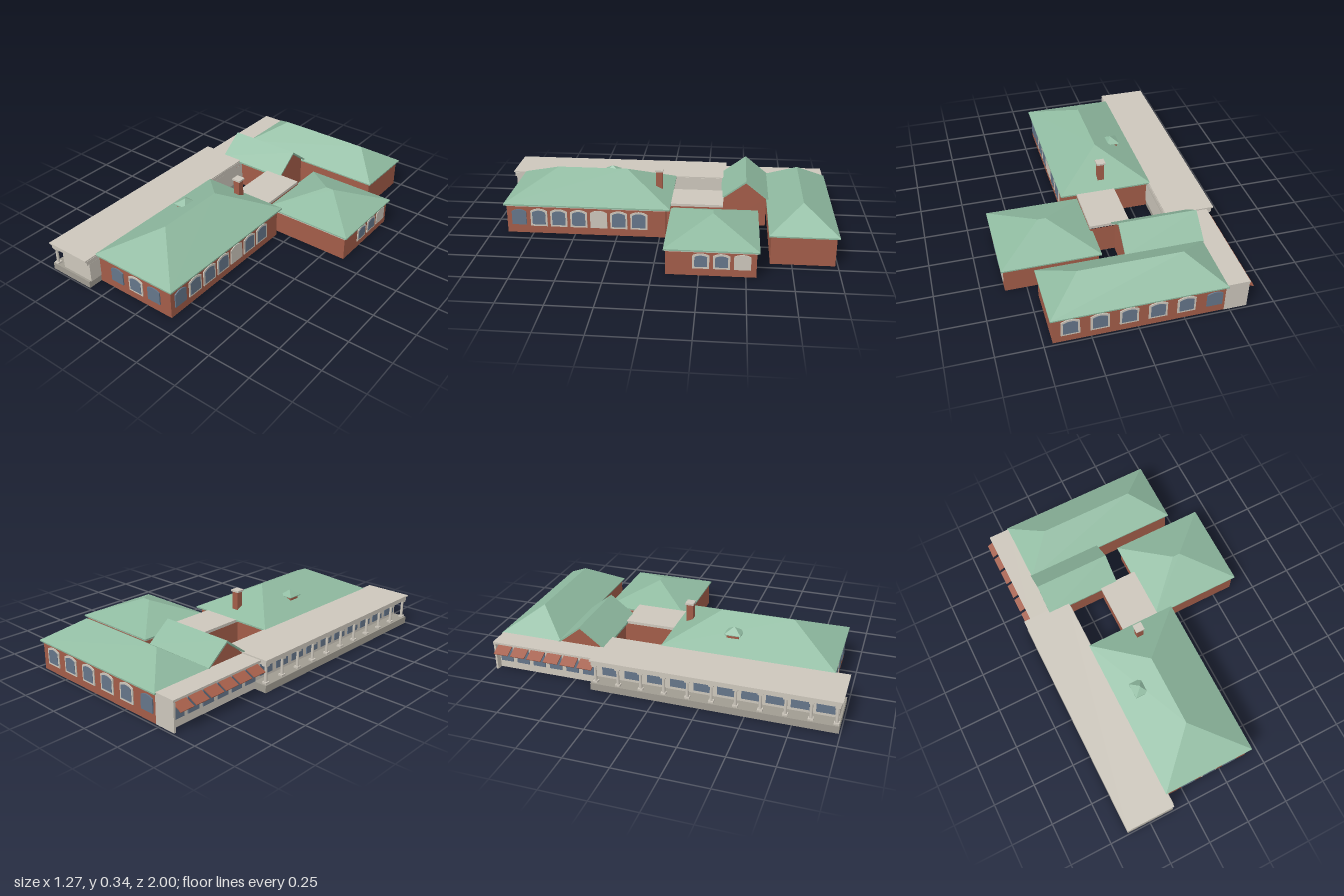
import * as THREE from 'three';

const mat = (name, color, side = THREE.FrontSide) => {
  const m = new THREE.MeshStandardMaterial({ color, side });
  m.name = name;
  return m;
};

export function createModel() {
  const model = new THREE.Group();
  model.name = 'building';
  const green = mat('green roof', 0x8fbaa0);
  const brick = mat('red brick', 0xa35d49, THREE.DoubleSide);
  const stone = mat('pale stone', 0xcdc7bc, THREE.DoubleSide);
  const grey = mat('grey base', 0xa09c92);
  const glass = mat('window glass', 0x65768a);

  const add = (name, geo, material, parent = model) => {
    const mesh = new THREE.Mesh(geo, material);
    mesh.name = name;
    parent.add(mesh);
    return mesh;
  };

  // Box given by its limits
  const box = (name, x0, x1, y0, y1, z0, z1, material) => {
    const m = add(name, new THREE.BoxGeometry(x1 - x0, y1 - y0, z1 - z0), material);
    m.position.set((x0 + x1) / 2, (y0 + y1) / 2, (z0 + z1) / 2);
    return m;
  };

  // Stack of rectangles [x0, x1, z0, z1, y], flat shaded, with an optional floor
  const loft = (rects, floor) => {
    const rings = rects.map(([x0, x1, z0, z1, y]) =>
      [[x0, y, z1], [x1, y, z1], [x1, y, z0], [x0, y, z0]]);
    const pos = [];
    const quad = (a, b, c, d) => pos.push(...a, ...b, ...c, ...a, ...c, ...d);
    for (let r = 0; r + 1 < rings.length; r++)
      for (let i = 0; i < 4; i++) {
        const j = (i + 1) % 4;
        quad(rings[r][i], rings[r][j], rings[r + 1][j], rings[r + 1][i]);
      }
    if (floor) quad(rings[0][3], rings[0][2], rings[0][1], rings[0][0]);
    const g = new THREE.BufferGeometry();
    g.setAttribute('position', new THREE.Float32BufferAttribute(pos, 3));
    g.computeVertexNormals();
    return g;
  };

  // Open-bottomed walls
  const walls = (name, x0, x1, z0, z1, y0, y1, material = brick) =>
    add(name, loft([[x0, x1, z0, z1, y0], [x0, x1, z0, z1, y1]], false), material);

  // Hipped roof with a thin eave and a ridge
  const hip = (name, x0, x1, z0, z1, y, eave, ridge) =>
    add(name, loft([[x0, x1, z0, z1, y], [x0, x1, z0, z1, y + eave], ridge], true), green);

  // Main hall
  walls('hallWalls', -0.35, 0.172, -0.035, 0.905, 0, 0.172);
  walls('hallCornice', -0.354, 0.178, -0.045, 0.91, 0.168, 0.178, stone);
  hip('hallRoof', -0.36, 0.19, -0.06, 0.92, 0.176, 0.009, [-0.09, -0.09, 0.22, 0.64, 0.325]);

  // Side wing
  walls('sideWingWalls', 0.095, 0.62, -0.555, -0.07, 0, 0.142);
  walls('sideWingCornice', 0.09, 0.625, -0.56, -0.065, 0.138, 0.148, stone);
  hip('sideWingRoof', 0.08, 0.635, -0.57, -0.06, 0.146, 0.008, [0.335, 0.38, -0.315, -0.315, 0.258]);

  // Back hall
  walls('backHallWalls', -0.47, 0.452, -0.985, -0.632, 0, 0.168);
  hip('backHallRoof', -0.48, 0.465, -1, -0.62, 0.165, 0.008, [-0.29, 0.28, -0.81, -0.81, 0.297]);

  // Gabled link, drawn across z and extruded along x
  const gable = (name, pts, x0, x1, material) => {
    const shape = new THREE.Shape(pts.map(p => new THREE.Vector2(...p)));
    const g = new THREE.ExtrudeGeometry(shape, { depth: x1 - x0, bevelEnabled: false });
    g.rotateY(Math.PI / 2);
    add(name, g, material).position.x = x0;
  };
  gable('gableWalls', [[0.37, 0], [0.62, 0], [0.62, 0.178], [0.497, 0.276], [0.37, 0.178]], -0.47, -0.05, brick);
  gable('gableRoof', [[0.35, 0.168], [0.497, 0.278], [0.635, 0.168], [0.635, 0.179], [0.497, 0.29], [0.35, 0.179]],
    -0.48, -0.03, green);

  // Flat-roofed connector
  walls('connectorWalls', -0.125, 0.095, -0.37, -0.03, 0, 0.17);
  box('connectorRoof', -0.135, 0.095, 0.168, 0.185, -0.365, -0.045, stone);

  // Chimney and roof dormer
  box('chimney', -0.09, -0.05, 0.18, 0.325, 0.002, 0.042, brick);
  box('chimneyCap', -0.097, -0.044, 0.325, 0.336, -0.003, 0.047, stone);
  box('dormerBody', -0.255, -0.2, 0.22, 0.262, 0.292, 0.362, brick);
  hip('dormerRoof', -0.267, -0.185, 0.28, 0.375, 0.259, 0.004, [-0.22, -0.22, 0.325, 0.33, 0.295]);

  // Long veranda
  box('verandaBase', -0.64, -0.35, 0, 0.042, -0.375, 0.992, grey);
  walls('verandaRoom', -0.56, -0.345, -0.37, 0.98, 0.04, 0.156, stone);
  box('verandaBeam', -0.632, -0.35, 0.152, 0.178, -0.368, 0.992, stone);
  box('verandaRoof', -0.64, -0.352, 0.177, 0.185, -0.375, 1, stone);
  const shaft = new THREE.CylinderGeometry(0.0075, 0.009, 0.1, 10);
  const block = new THREE.BoxGeometry(0.028, 0.01, 0.028);
  const columns = 11, zFirst = -0.35, bay = (0.975 - zFirst) / (columns - 1);
  for (let i = 0; i < columns; i++) {
    const column = new THREE.Group();
    column.name = 'verandaColumn';
    column.position.set(-0.617, 0, zFirst + i * bay);
    add('shaft', shaft, stone, column).position.y = 0.097;
    add('columnBase', block, stone, column).position.y = 0.047;
    add('columnCapital', block, stone, column).position.y = 0.147;
    model.add(column);
  }

  // Rear gallery with awnings
  walls('galleryWalls', -0.562, -0.465, -0.98, -0.375, 0, 0.166, stone);
  box('galleryEndWall', -0.598, -0.47, 0, 0.166, -0.987, -0.975, stone);
  box('galleryRoof', -0.6, -0.47, 0.164, 0.176, -0.99, -0.37, stone);
  for (let i = 0; i < 6; i++) {
    const awning = add('awning', new THREE.BoxGeometry(0.08, 0.005, 0.087), brick);
    awning.position.set(-0.596, 0.135, -0.928 + i * 0.103);
    awning.rotation.z = 0.44;
  }

  // Arched plates for windows; kind: framed, plain or blank
  const plate = (w, h, depth) => {
    const s = new THREE.Shape();
    s.moveTo(-w / 2, 0);
    s.lineTo(w / 2, 0);
    s.lineTo(w / 2, h * 0.86);
    s.quadraticCurveTo(0, h * 1.14, -w / 2, h * 0.86);
    s.closePath();
    return new THREE.ExtrudeGeometry(s, { depth, bevelEnabled: false, curveSegments: 8 });
  };
  const arched = (x, y, z, turn, w, h, kind) => {
    const win = new THREE.Group();
    win.name = 'window';
    win.position.set(x, y, z);
    win.rotation.y = turn;
    if (kind !== 'plain') add('windowFrame', plate(w, h, 0.005), stone, win);
    if (kind !== 'blank') {
      const m = kind === 'framed' ? 0.011 : 0.007;
      add('windowPane', plate(w - 2 * m, h - 2 * m, 0.007), glass, win).position.y = m;
    }
    model.add(win);
  };
  const east = Math.PI / 2, west = -Math.PI / 2, north = Math.PI;

  // Hall front and side windows
  [[-0.21, 'plain'], [-0.075, 'framed'], [0.056, 'plain']].forEach(([x, k]) =>
    arched(x, 0.048, 0.905, 0, 0.1, 0.104, k));
  ['plain', 'framed', 'framed', 'framed', 'blank', 'framed', 'framed'].forEach((k, i) =>
    arched(0.172, 0.046, 0.832 - i * 0.1185, east, 0.1, 0.11, k));
  // Side wing windows
  ['framed', 'framed', 'blank'].forEach((k, i) =>
    arched(0.62, 0.043, -0.26 - i * 0.11, east, 0.09, 0.088, k));
  // Back hall windows
  for (let i = 0; i < 6; i++)
    arched(0.36 - i * 0.154, 0.045, -0.985, north, 0.1, 0.105, i < 5 ? 'framed' : 'plain');

  // Veranda and gallery windows
  for (let i = 0; i < columns - 1; i++)
    box('verandaWindow', -0.565, -0.559, 0.06, 0.14,
      zFirst + (i + 0.13) * bay, zFirst + (i + 0.87) * bay, glass);
  for (let i = 0; i < 6; i++) {
    const z = -0.928 + i * 0.103;
    box('galleryWindow', -0.567, -0.561, 0.045, 0.135, z - 0.038, z + 0.038, glass);
  }
  return model;
}
